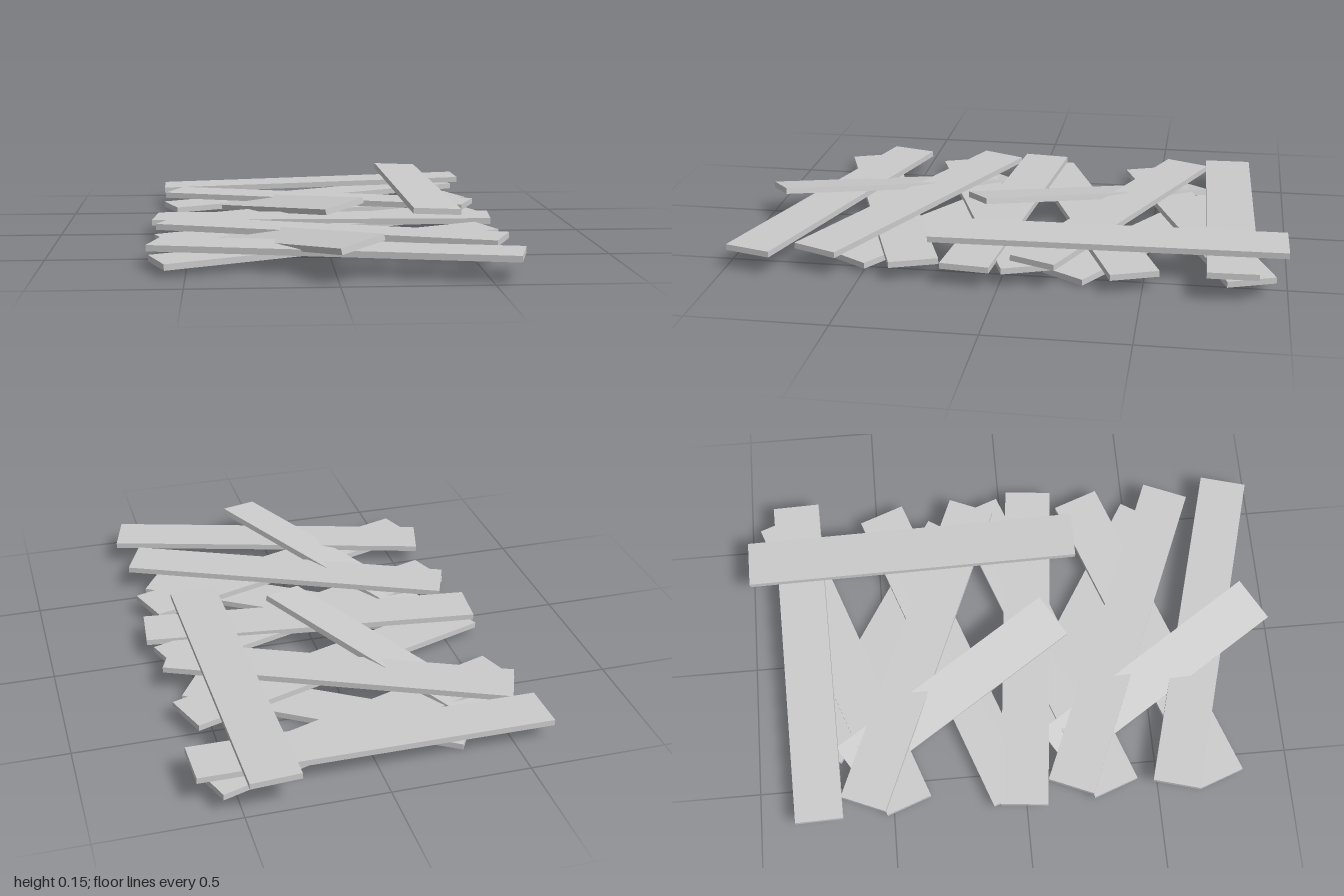
import * as THREE from 'three';

const WIDTH = 0.178, THICK = 0.022;
const material = new THREE.MeshStandardMaterial({ color: 0xcccccc, flatShading: true });

// A board whose top face runs along its centre line from a to b, rolled about that line
function plank(name, a, b, roll = 0) {
  const start = new THREE.Vector3(...a), end = new THREE.Vector3(...b);
  const along = end.clone().sub(start);
  const length = along.length();
  along.normalize();
  const side = along.clone().cross(new THREE.Vector3(0, 1, 0)).normalize().applyAxisAngle(along, roll);
  const up = side.clone().cross(along);
  const mesh = new THREE.Mesh(new THREE.BoxGeometry(length, THICK, WIDTH), material);
  mesh.quaternion.setFromRotationMatrix(new THREE.Matrix4().makeBasis(along, up, side));
  mesh.position.copy(start).add(end).multiplyScalar(0.5).addScaledVector(up, -THICK / 2);
  mesh.name = name;
  return mesh;
}

export function createModel() {
  const group = new THREE.Group();
  group.name = 'plankPile';

  // Lower layer: four parallel boards rising to the left side
  [0, 0.4, 0.78, 1.18].forEach((dz, i) =>
    group.add(plank(`lowerPlank${i + 1}`, [-0.6, 0.047, -0.44 + dz], [0.59, 0.075, -0.875 + dz])));

  // The same three crossing boards in the back and front halves
  [['back', 0, 0], ['front', 0.78, 0.016]].forEach(([half, dz, dy]) => {
    group.add(plank(`${half}BottomPlank`, [-0.36, 0.024 + dy, -0.765 + dz], [0.522, 0.028 + dy, -0.215 + dz]));
    group.add(plank(`${half}LeaningPlank`, [0.075, 0.14, 0.165 + dz], [-0.43, 0.038, -0.655 + dz], -0.17));
    group.add(plank(`${half}DiagonalPlank`, [-0.59, 0.084, -0.61 + dz], [0.585, 0.1, -0.115 + dz]));
  });

  // Single boards lying across
  group.add(plank('middleCrossPlank', [-0.64, 0.07, -0.01], [0.632, 0.085, 0.117]));
  group.add(plank('frontCrossPlank', [-0.615, 0.08, 0.565], [0.61, 0.094, 0.905]));
  group.add(plank('backCrossPlank', [-0.638, 0.082, -0.775], [0.637, 0.113, -0.81]));

  // Top board running front to back
  group.add(plank('topPlank', [0.413, 0.135, 0.275], [0.393, 0.138, -1], 0.04));
  return group;
}
